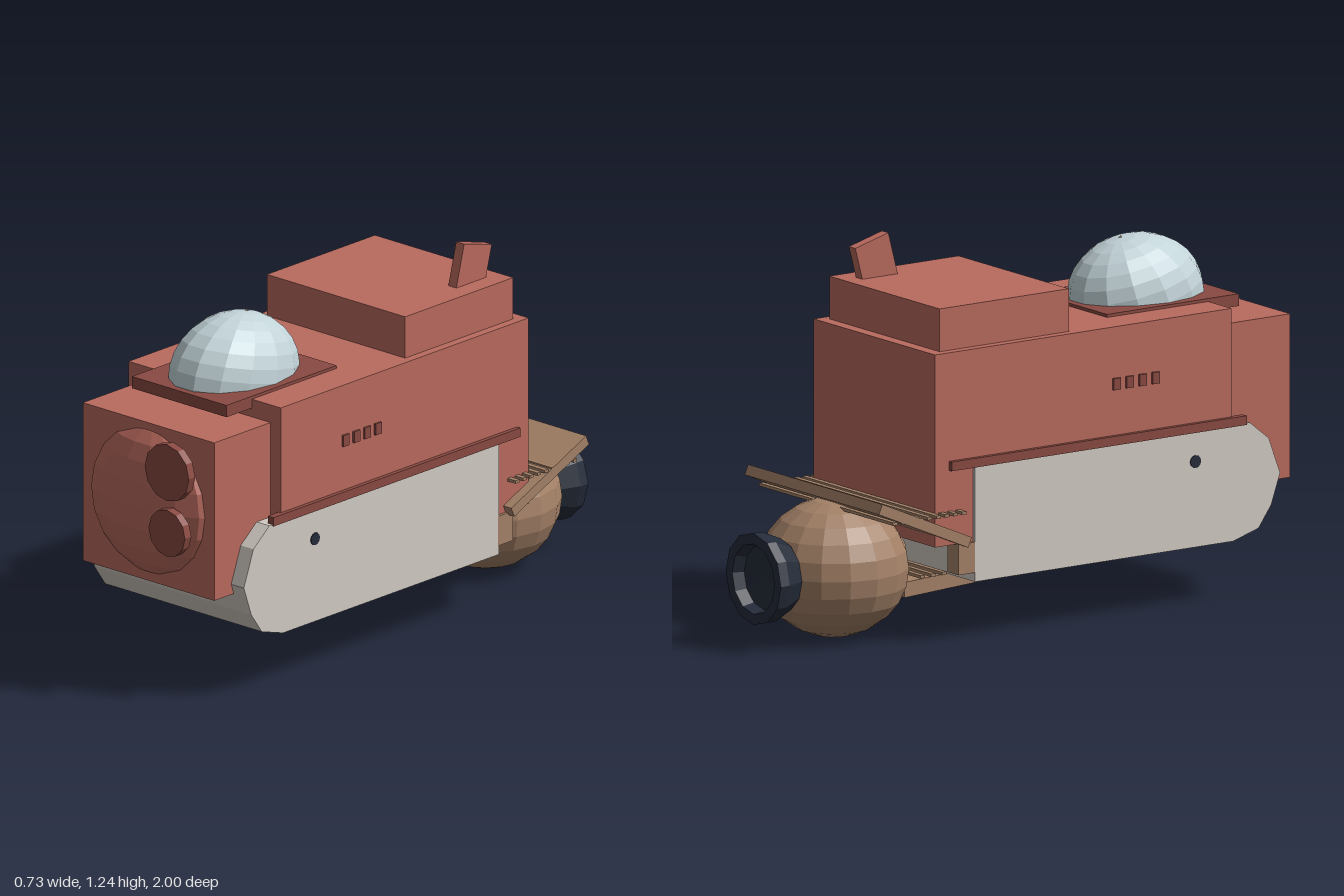
import * as THREE from 'three';

const mat = (color, side = THREE.FrontSide) =>
  new THREE.MeshStandardMaterial({ color, flatShading: true, side });

export function createModel() {
  const model = new THREE.Group();
  const red = mat(0xb96a5e), darkRed = mat(0x8a4a42), cream = mat(0xd2cbc3);
  const tan = mat(0xa58268), navy = mat(0x252c3a, THREE.DoubleSide), glass = mat(0xc2d3d8);

  const add = (name, geometry, material, x = 0, y = 0, z = 0) => {
    const mesh = new THREE.Mesh(geometry, material);
    mesh.name = name;
    mesh.position.set(x, y, z);
    model.add(mesh);
    return mesh;
  };
  // Box given by its limits on each axis
  const block = (name, material, [x0, x1], [y0, y1], [z0, z1]) =>
    add(name, new THREE.BoxGeometry(x1 - x0, y1 - y0, z1 - z0), material,
      (x0 + x1) / 2, (y0 + y1) / 2, (z0 + z1) / 2);

  // Upper body, nose and roof
  block('body', red, [-0.33, 0.33], [0.33, 0.96], [-0.52, 0.65]);
  block('nose', red, [-0.285, 0.285], [0.365, 0.9], [0.6, 0.915]);
  block('roofBox', red, [-0.3, 0.3], [0.96, 1.1], [-0.48, 0.03]);
  const fin = add('roofFin', new THREE.BoxGeometry(0.035, 0.18, 0.135), red, 0.217, 1.135, -0.362);
  fin.rotation.x = -0.26;

  // Lower hull with a rounded bow, drawn in side profile and extruded across x
  const profile = [[-0.37, 0.2], [0.65, 0.2], [0.75, 0.23], [0.8, 0.3], [0.835, 0.4],
    [0.79, 0.52], [0.715, 0.58], [-0.37, 0.58]];
  const hullShape = new THREE.Shape(profile.map(([z, y]) => new THREE.Vector2(-z, y)));
  const hullGeometry = new THREE.ExtrudeGeometry(hullShape, { depth: 0.68, bevelEnabled: false });
  hullGeometry.translate(0, 0, -0.34).rotateY(Math.PI / 2);
  add('hull', hullGeometry, cream);

  // Side rails, vents and pivots
  for (const s of [-1, 1]) {
    block('sideRail', darkRed, s < 0 ? [-0.345, -0.32] : [0.32, 0.345], [0.575, 0.605], [-0.465, 0.7]);
    for (let i = 0; i < 4; i++) {
      add('sideVent', new THREE.BoxGeometry(0.02, 0.038, 0.028), darkRed, s * 0.328, 0.773, 0.348 - i * 0.051);
    }
    const pivot = add('sidePivot', new THREE.CylinderGeometry(0.021, 0.021, 0.01, 12), navy, s * 0.338, 0.48, 0.5);
    pivot.rotation.z = Math.PI / 2;
  }

  // Front bulge with two round lamps
  const bulge = add('frontBulge', new THREE.SphereGeometry(1, 14, 10), red, 0, 0.635, 0.89);
  bulge.scale.set(0.26, 0.25, 0.095);
  for (const [y, r] of [[0.79, 0.096], [0.585, 0.079]]) {
    const lamp = add('frontLamp', new THREE.CylinderGeometry(r, r, 0.03, 12), darkRed, 0.157, y, 0.985);
    lamp.rotation.x = Math.PI / 2;
  }

  // Glass canopy: a tilted ellipsoid cut flat at its base
  block('canopyPlate', darkRed, [-0.205, 0.205], [0.93, 0.97], [0.25, 0.77]);
  const canopy = new THREE.SphereGeometry(1, 14, 14);
  canopy.rotateX(-0.26).scale(0.182, 0.197, 0.24);
  const p = canopy.attributes.position;
  for (let i = 0; i < p.count; i++) p.setY(i, Math.max(p.getY(i), -0.05));
  add('canopy', canopy, glass, 0, 0.97, 0.512);
  add('canopyStud', new THREE.OctahedronGeometry(0.018), tan, 0, 1.148, 0.452);

  // Rear ball and flared nozzle with a recessed mouth
  const ball = add('rearBall', new THREE.SphereGeometry(1, 16, 12), tan, 0, 0.23, -0.68);
  ball.scale.set(0.24, 0.226, 0.245);
  const nozzleProfile = [[0, 0.05], [0.105, 0.065], [0.115, 0.105], [0.15, 0.105], [0.15, 0.07], [0.12, 0], [0, 0]]
    .map(([r, h]) => new THREE.Vector2(r, h));
  const nozzle = add('nozzle', new THREE.LatheGeometry(nozzleProfile, 12), navy, 0, 0.23, -0.893);
  nozzle.rotation.x = -Math.PI / 2;

  // Sloping rear deck, its brackets and the cross slats through it
  const deck = add('rearDeck', new THREE.BoxGeometry(0.73, 0.035, 0.385), tan, 0, 0.415, -0.584);
  deck.rotation.x = 0.41;
  for (const s of [-1, 1]) {
    add('deckBracket', new THREE.BoxGeometry(0.06, 0.1, 0.07), tan, s * 0.31, 0.28, -0.4);
  }
  for (let i = 0; i < 9; i++) {
    add('deckSlat', new THREE.BoxGeometry(0.73, 0.01, 0.018), tan, 0, 0.437, -0.43 - i * 0.034);
  }
  for (let i = 0; i < 3; i++) {
    add('lowerSlat', new THREE.BoxGeometry(0.4, 0.01, 0.018), tan, 0, 0.205, -0.39 - i * 0.042);
  }

  // Keel beam sloping down from the hull to the ball
  const keel = add('keelBeam', new THREE.BoxGeometry(0.29, 0.05, 1.1), tan, 0, 0.183, 0.042);
  keel.rotation.x = -0.05;

  return model;
}
